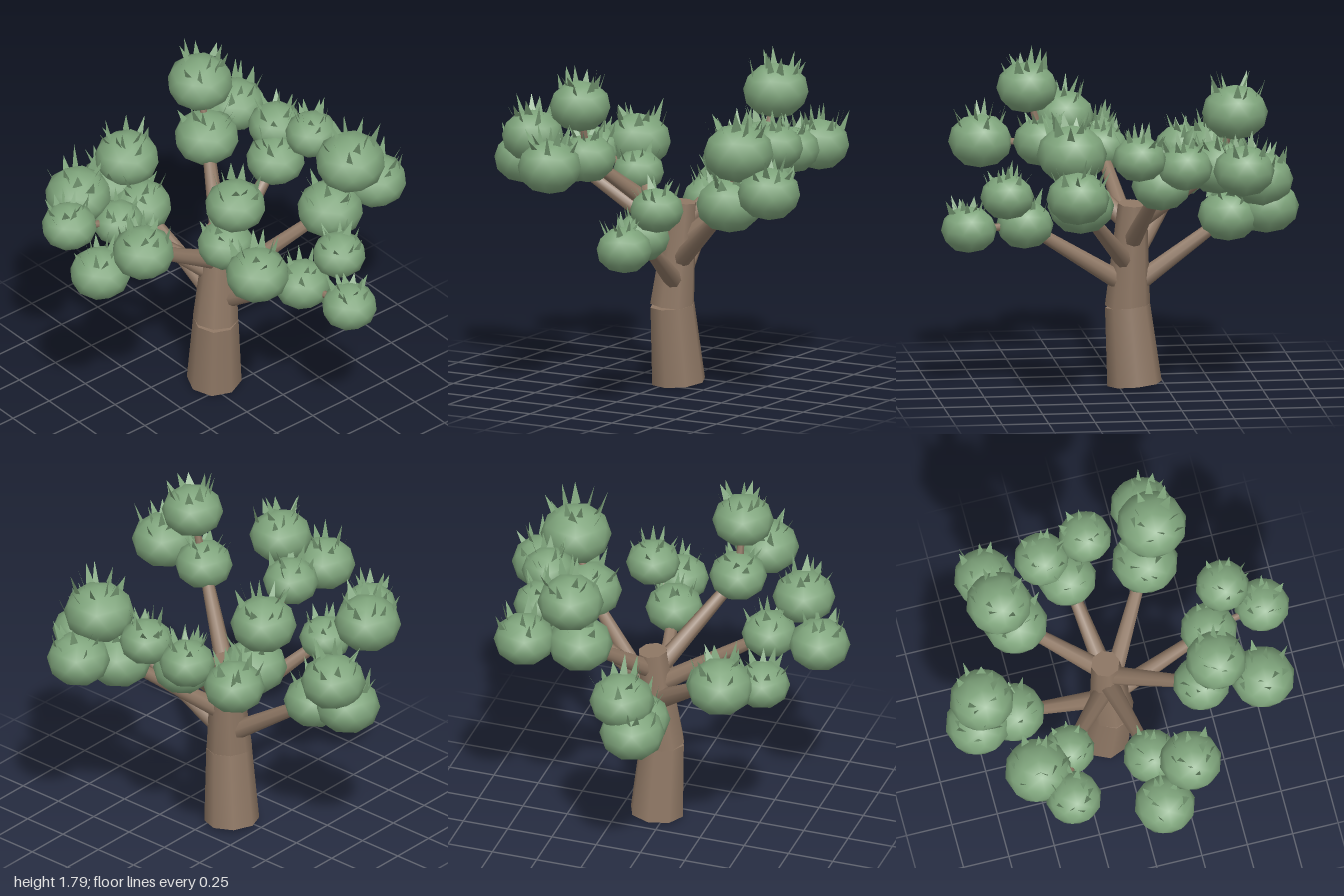
import * as THREE from 'three';

const bark = new THREE.MeshStandardMaterial({ color: 0x8f7865 });
const green = new THREE.MeshStandardMaterial({ color: 0x7fa57c });
const leafGreen = new THREE.MeshStandardMaterial({ color: 0x7fa57c, side: THREE.DoubleSide });
const UP = new THREE.Vector3(0, 1, 0);

// Each limb: where it leaves the trunk [x, y, z], then its crowns [x, y, z, radius];
// the first crown sits on the limb, the others on twigs from it.
const LIMBS = [
  { name: 'backRight', from: [-0.05, 0.66, -0.06], crowns: [[0.27, 1.09, -0.56, 0.18], [0.33, 1.39, -0.65, 0.19], [0.32, 1.185, -0.83, 0.17]] },
  { name: 'rightBack', from: [0.0, 0.58, -0.07], crowns: [[0.52, 0.915, -0.16, 0.155], [0.635, 1.1, -0.32, 0.145], [0.83, 0.91, -0.23, 0.15]] },
  { name: 'rightFront', from: [-0.05, 0.89, -0.05], crowns: [[0.375, 1.28, 0.25, 0.155], [0.455, 1.58, 0.25, 0.165], [0.7, 1.285, 0.3, 0.173]] },
  { name: 'front', from: [-0.06, 0.83, 0.0], crowns: [[0.02, 1.18, 0.55, 0.15], [0.205, 1.33, 0.68, 0.168], [0.025, 1.165, 0.83, 0.165]] },
  { name: 'frontLeft', from: [-0.1, 0.73, -0.02], crowns: [[-0.385, 1.06, 0.365, 0.14], [-0.585, 1.18, 0.48, 0.18], [-0.435, 1.145, 0.665, 0.15]] },
  { name: 'left', from: [-0.1, 0.56, -0.05], crowns: [[-0.6, 0.9, 0.03, 0.165], [-0.77, 1.1, -0.01, 0.175], [-0.81, 0.94, 0.06, 0.175]] },
  { name: 'backLeft', from: [-0.07, 0.88, -0.08], crowns: [[-0.5, 1.24, -0.34, 0.175], [-0.585, 1.54, -0.365, 0.178], [-0.6, 1.27, -0.62, 0.165]] },
  { name: 'back', from: [-0.06, 0.78, -0.08], crowns: [[-0.165, 1.185, -0.54, 0.16], [-0.28, 1.3, -0.635, 0.15], [-0.03, 1.36, -0.68, 0.145]] },
];

// Small seeded generator for leaf scatter
function seeded(seed) {
  return () => (seed = (seed * 16807) % 2147483647) / 2147483647;
}

// Tapered cylinder between two points
function taper(name, a, b, r0, r1, sides) {
  const start = new THREE.Vector3(...a), end = new THREE.Vector3(...b);
  const axis = end.clone().sub(start);
  const mesh = new THREE.Mesh(new THREE.CylinderGeometry(r1, r0, axis.length(), sides), bark);
  mesh.quaternion.setFromUnitVectors(UP, axis.normalize());
  mesh.position.copy(start).lerp(end, 0.5);
  mesh.name = name;
  return mesh;
}

// Ring of pointed leaves standing on the upper part of a crown
function leafGeometry(r, random) {
  const pts = [];
  const count = 11;
  for (let i = 0; i < count; i++) {
    const angle = ((i + random() * 0.8) / count) * Math.PI * 2;
    const tilt = 0.35 + random() * 0.6;
    const out = new THREE.Vector3(Math.cos(angle), 0, Math.sin(angle));
    const base = out.clone().multiplyScalar(Math.sin(tilt) * r * 0.93);
    base.y = Math.cos(tilt) * r * 0.78;
    const twist = angle + Math.PI / 2 + (random() - 0.5) * 1.6;
    const side = new THREE.Vector3(Math.cos(twist), 0, Math.sin(twist)).multiplyScalar(r * (0.1 + random() * 0.07));
    const tip = base.clone().addScaledVector(out, r * (0.1 + random() * 0.2));
    tip.y += r * (0.35 + random() * 0.3);
    for (const p of [base.clone().sub(side), base.clone().add(side), tip]) pts.push(p.x, p.y, p.z);
  }
  const geo = new THREE.BufferGeometry();
  geo.setAttribute('position', new THREE.Float32BufferAttribute(pts, 3));
  geo.computeVertexNormals();
  return geo;
}

export function createModel() {
  const tree = new THREE.Group();
  tree.name = 'tree';
  const random = seeded(4711);

  // Trunk in two leaning sections
  tree.add(taper('lowerTrunk', [-0.085, 0.013, -0.05], [-0.05, 0.435, -0.032], 0.147, 0.122, 8));
  tree.add(taper('upperTrunk', [-0.05, 0.435, -0.03], [-0.07, 1.0, -0.08], 0.122, 0.078, 8));

  // Faceted ball with a vertex at each pole, smooth normals
  const ball = new THREE.IcosahedronGeometry(1, 1);
  ball.rotateX(-Math.atan((1 + Math.sqrt(5)) / 2));

  for (const { name, from, crowns } of LIMBS) {
    const limb = new THREE.Group();
    limb.name = name + 'Limb';
    const hub = crowns[0].slice(0, 3);
    limb.add(taper('branch', from, hub, 0.052, 0.03, 8));

    crowns.forEach(([x, y, z, r], i) => {
      if (i > 0) limb.add(taper('twig', hub, [x, y, z], 0.025, 0.015, 6));
      const crown = new THREE.Group();
      crown.name = 'crown';
      crown.position.set(x, y, z);
      const foliage = new THREE.Mesh(ball, green);
      foliage.name = 'foliage';
      foliage.scale.set(r, r * 0.84, r);
      const leaves = new THREE.Mesh(leafGeometry(r, random), leafGreen);
      leaves.name = 'leaves';
      crown.add(foliage, leaves);
      limb.add(crown);
    });
    tree.add(limb);
  }
  return tree;
}
